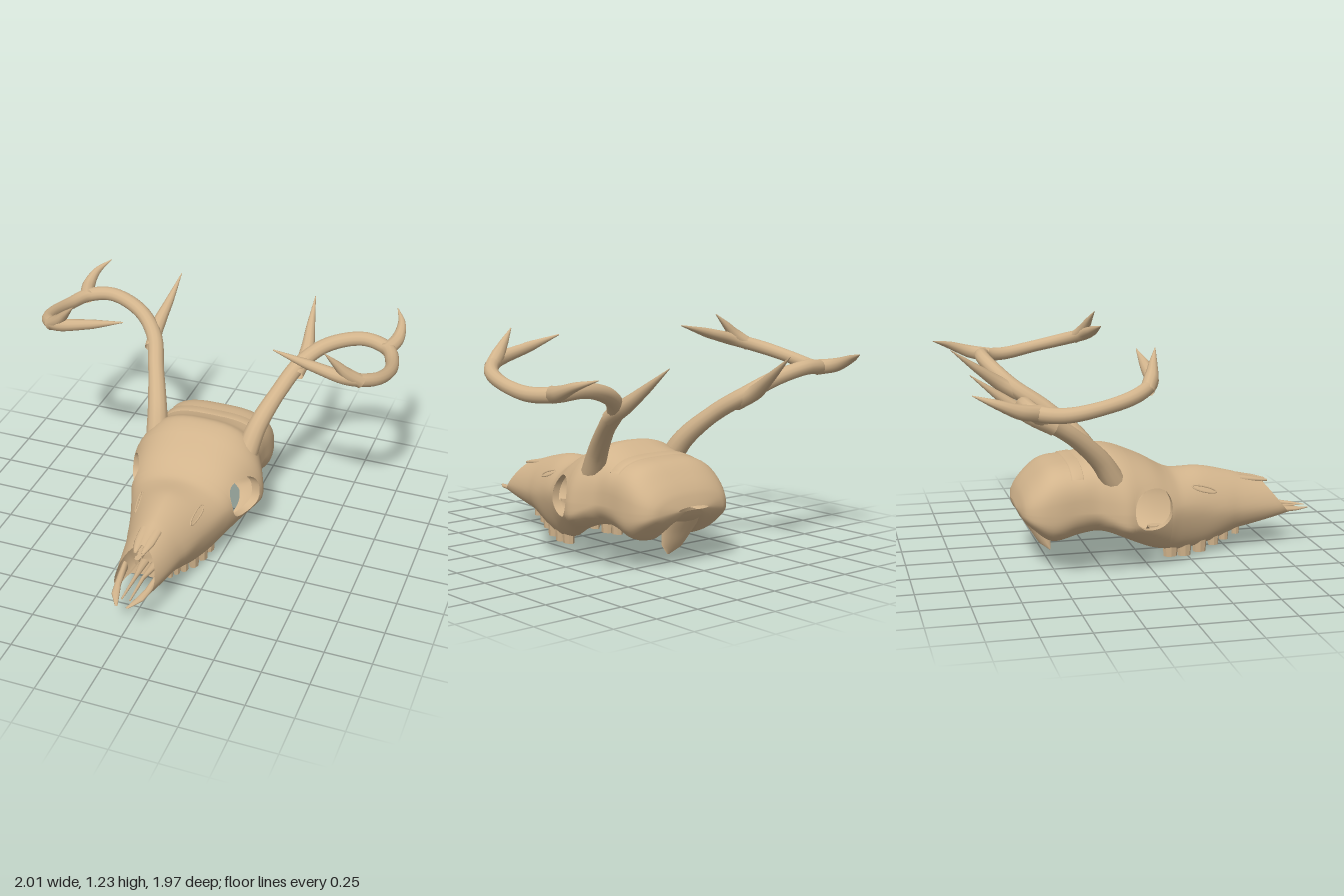
import * as THREE from 'three';
import { mergeGeometries, mergeVertices } from 'three/addons/utils/BufferGeometryUtils.js';

const bone = new THREE.MeshStandardMaterial({ color: 0xd2b48c, side: THREE.DoubleSide });
bone.name = 'bone';

// Skull stations: z, top, height of widest line, bottom, half width, palate half width, roof and cheek squareness
const STATIONS = [
  [0.70, 0.375, 0.225, 0.185, 0.108, 0.085, 1.8, 1.6],
  [0.50, 0.43, 0.23, 0.10, 0.172, 0.10, 1.7, 1.6],
  [0.35, 0.46, 0.25, 0.06, 0.215, 0.14, 1.7, 1.6],
  [0.20, 0.455, 0.27, 0.045, 0.27, 0.17, 1.9, 1.6],
  [0.14, 0.475, 0.27, 0.05, 0.295, 0.175, 2.1, 1.6],
  [0.05, 0.525, 0.26, 0.07, 0.33, 0.19, 2.3, 1.6],
  [-0.04, 0.565, 0.24, 0.11, 0.362, 0.22, 2.4, 1.6],
  [-0.12, 0.595, 0.235, 0.15, 0.383, 0.24, 2.4, 1.6],
  [-0.20, 0.605, 0.27, 0.18, 0.352, 0.22, 2.6, 1.6],
  [-0.26, 0.58, 0.30, 0.18, 0.318, 0.17, 2.8, 1.7],
  [-0.35, 0.55, 0.31, 0.165, 0.31, 0.15, 3.2, 2],
  [-0.50, 0.53, 0.28, 0.14, 0.315, 0.14, 3.2, 2.4],
  [-0.60, 0.45, 0.28, 0.21, 0.287, 0.12, 2.9, 2.4],
  [-0.655, 0.375, 0.30, 0.27, 0.215, 0.10, 2.4, 2.2],
  [-0.67, 0.325, 0.31, 0.305, 0.10, 0.05, 2, 2],
];
const ORBIT = { z: 0.025, y: 0.31, rz: 0.11, ry: 0.108, power: 2.3 };

// Smooth interpolation of the station table
function station(z) {
  const S = STATIONS, last = S.length - 1;
  let i = 0;
  while (i < last - 1 && z < S[i + 1][0]) i++;
  const slope = (k, c) => {
    const a = S[Math.max(k - 1, 0)], b = S[Math.min(k + 1, last)];
    return (b[c] - a[c]) / (b[0] - a[0]);
  };
  const h = S[i + 1][0] - S[i][0], t = (z - S[i][0]) / h, t2 = t * t, t3 = t2 * t;
  const [T, M, B, W, P, n, low] = [1, 2, 3, 4, 5, 6, 7].map((c) =>
    (2 * t3 - 3 * t2 + 1) * S[i][c] + (t3 - 2 * t2 + t) * h * slope(i, c) +
    (3 * t2 - 2 * t3) * S[i + 1][c] + (t3 - t2) * h * slope(i + 1, c));
  return { T, M, B, W, P, n, low };
}

// Half width of the skull surface at a height
function surfaceX(z, y) {
  const { T, M, B, W, P, n, low } = station(z);
  const arc = (s, p) => Math.pow(Math.max(0, 1 - Math.pow(Math.min(s, 1), p)), 1 / p);
  return y >= M ? W * arc((y - M) / (T - M), n) : P + (W - P) * arc((M - y) / (M - B), low);
}

// Surface through rows of points
function grid(rows) {
  const cols = rows[0].length, pos = [], index = [];
  rows.forEach((r) => r.forEach((p) => pos.push(...p)));
  for (let i = 0; i < rows.length - 1; i++) for (let j = 0; j < cols - 1; j++) {
    const a = i * cols + j, b = a + cols;
    index.push(a, a + 1, b, a + 1, b + 1, b);
  }
  const g = new THREE.BufferGeometry();
  g.setAttribute('position', new THREE.Float32BufferAttribute(pos, 3));
  g.setIndex(index);
  return g;
}
function smooth(g) {
  const m = mergeVertices(g, 1e-4);
  m.computeVertexNormals();
  return m;
}
const flip = ([x, y, z]) => [-x, y, z];
const mirrorRow = (half) => [...half.map(flip), ...half.slice(0, -1).reverse()];

// Roof from one side over the crown to the other, starting at a given height
function roofRow(z, from, lift = 0) {
  const { T, M, W, n } = station(z), half = [];
  const a0 = Math.asin(Math.pow(Math.max(0, (from - M) / (T - M)), n / 2));
  for (let k = 0; k <= 12; k++) {
    const a = a0 + (Math.PI / 2 - a0) * k / 12;
    const c = k === 12 ? 0 : Math.pow(Math.cos(a), 2 / n);
    half.push([(W + lift) * c, M + (T - M) * Math.pow(Math.sin(a), 2 / n) + lift, z]);
  }
  return mirrorRow(half);
}
// Cheek from a given height down to the palate edge
function cheekRow(z, from) {
  const { B, P } = station(z);
  return Array.from({ length: 13 }, (_, k) => {
    const y = from - (from - B) * Math.pow(Math.sin(k / 12 * Math.PI / 2), 1.25);
    return [k === 12 ? P : surfaceX(z, y), y, z];
  });
}
function palateRow(z) {
  const { M, B, P } = station(z), dome = Math.min(0.05, (M - B) * 0.4);
  return mirrorRow([[P, B, z], [P * 0.75, B + dome * 0.7, z], [0, B + dome, z]]).reverse();
}

// Skull shell with open eye sockets, an open throat and a slanted nose opening
function skullGeometry() {
  const zs = [], front = ORBIT.z + ORBIT.rz, back = ORBIT.z - ORBIT.rz;
  for (let i = 0; i < 28; i++) zs.push(0.7 + (front - 0.7) * i / 28);
  for (let i = 0; i <= 24; i++) zs.push(ORBIT.z + ORBIT.rz * Math.cos(Math.PI * i / 24));
  for (let i = 1; i <= 36; i++) zs.push(back + (-0.67 - back) * i / 36);
  const gap = (z) => ORBIT.ry *
    Math.pow(Math.max(0, 1 - Math.pow(Math.abs(z - ORBIT.z) / ORBIT.rz, ORBIT.power)), 1 / ORBIT.power);
  const seam = (z) => Math.max(ORBIT.y, station(z).M);
  const slant = (row) => row.map(([x, y, z]) => [x, y, z + Math.max(0, z - 0.55) / 0.15 * (0.375 - y) * 0.8]);
  const cheek = zs.map((z) => slant(cheekRow(z, seam(z) - gap(z))));
  const palate = (list) => grid(list.map((z) => slant(palateRow(z))));
  return smooth(mergeGeometries([
    grid(zs.map((z) => slant(roofRow(z, seam(z) + gap(z))))),
    grid(cheek), grid(cheek.map((r) => r.map(flip).reverse())),
    palate(zs.filter((z) => z > 0.1 && z < 0.62)), palate(zs.filter((z) => z < -0.28)),
  ]));
}

// Tapered tube; radii are spread evenly along the path
function horn(points, radii, segs = 32, sides = 10) {
  const path = new THREE.CatmullRomCurve3(points.map((p) => new THREE.Vector3(...p)));
  const g = new THREE.TubeGeometry(path, segs, 1, sides), pos = g.attributes.position;
  const v = new THREE.Vector3();
  for (let i = 0; i <= segs; i++) {
    const f = i / segs * (radii.length - 1), k = Math.min(Math.floor(f), radii.length - 2);
    const r = THREE.MathUtils.lerp(radii[k], radii[k + 1], f - k), c = path.getPointAt(i / segs);
    for (let j = 0; j <= sides; j++) {
      const id = i * (sides + 1) + j;
      v.fromBufferAttribute(pos, id).sub(c).multiplyScalar(r).add(c);
      pos.setXYZ(id, v.x, v.y, v.z);
    }
  }
  return g;
}

// Elliptical rings: [z, centre x, centre y, half width, half height]
function prong(rings) {
  return smooth(grid(rings.map(([z, cx, cy, hx, hy]) => Array.from({ length: 11 }, (_, k) => {
    const a = -k / 10 * Math.PI * 2;
    return [cx + hx * Math.cos(a), cy + hy * Math.sin(a), z];
  }))));
}

// Thickness of the bone around the eye socket
function orbitGeometry() {
  const round = (v) => Math.sign(v) * Math.pow(Math.abs(v), 2 / ORBIT.power);
  return smooth(grid([0, 1].map((d) => Array.from({ length: 49 }, (_, k) => {
    const a = k / 48 * Math.PI * 2;
    const z = ORBIT.z + ORBIT.rz * round(Math.cos(a)), y = ORBIT.y + ORBIT.ry * round(Math.sin(a));
    return [surfaceX(z, y) - 0.045 * d, y, z];
  }))));
}

export function createModel() {
  const model = new THREE.Group();
  const add = (parent, name, geometry) => {
    const m = new THREE.Mesh(geometry, bone);
    m.name = name;
    parent.add(m);
    return m;
  };
  add(model, 'skull', skullGeometry());

  // Raised band across the sawn skull cap
  const band = [[-0.335, -0.004], [-0.342, 0.006], [-0.398, 0.006], [-0.405, -0.004]];
  add(model, 'skullCapBand', smooth(grid(band.map(([z, lift]) => roofRow(z, 0.48, lift)))));

  // Tongue of bone at the back of the skull base
  const base = add(model, 'skullBase', horn(
    [[0, 0.27, -0.585], [0, 0.2, -0.55], [0, 0.12, -0.515], [0, 0.04, -0.474]], [0.06, 0.055, 0.045, 0.034, 0.004], 20, 14));
  base.scale.x = 2;

  for (const side of [1, -1]) {
    const half = new THREE.Group();
    half.name = side > 0 ? 'leftSide' : 'rightSide';
    half.scale.x = side;
    model.add(half);

    // Antler beam and tines
    add(half, 'antlerBeam', horn([
      [0.262, 0.45, -0.17], [0.295, 0.59, -0.26], [0.365, 0.74, -0.42], [0.44, 0.85, -0.58], [0.56, 0.935, -0.675],
      [0.75, 0.985, -0.72], [0.89, 0.972, -0.685], [0.95, 0.967, -0.56], [0.968, 1.0, -0.38], [0.925, 1.04, -0.22],
      [0.82, 1.08, -0.12], [0.64, 1.125, -0.1], [0.42, 1.182, -0.095],
    ], [0.064, 0.054, 0.046, 0.046, 0.042, 0.04, 0.04, 0.037, 0.034, 0.036, 0.035, 0.026, 0.003], 90, 12));
    add(half, 'browTine', horn([[0.43, 0.8, -0.52], [0.445, 0.87, -0.65], [0.425, 0.97, -0.79], [0.405, 1.08, -0.935]],
      [0.042, 0.04, 0.023, 0.002]));
    add(half, 'rearTine', horn([[0.89, 0.97, -0.66], [0.925, 0.99, -0.77], [0.92, 1.03, -0.88], [0.87, 1.065, -0.985]],
      [0.042, 0.037, 0.022, 0.002]));
    add(half, 'frontTine', horn([[0.88, 1.055, -0.155], [0.81, 1.11, -0.115], [0.76, 1.165, -0.095], [0.7, 1.23, -0.07]],
      [0.036, 0.036, 0.021, 0.002]));

    add(half, 'eyeSocketRim', orbitGeometry());

    // Rim of the slot in front of the eye
    const slot = Array.from({ length: 13 }, (_, k) => {
      const a = k / 12 * Math.PI * 2;
      const z = 0.345 + 0.07 * Math.cos(a), y = 0.365 - 0.02 * Math.cos(a) + 0.013 * Math.sin(a);
      return [surfaceX(z, y), y, z];
    });
    add(half, 'tearSlotRim', horn(slot, [0.005, 0.005], 36, 6));

    // Nose and upper jaw tips
    add(half, 'nasalBone', prong([[0.58, 0.03, 0.385, 0.03, 0.018], [0.68, 0.028, 0.368, 0.026, 0.014], [0.745, 0.022, 0.358, 0.01, 0.006]]));
    add(half, 'jawTip', prong([
      [0.7, 0.098, 0.215, 0.016, 0.03], [0.78, 0.09, 0.208, 0.018, 0.02],
      [0.84, 0.082, 0.2, 0.018, 0.014], [0.91, 0.065, 0.195, 0.022, 0.009], [0.985, 0.03, 0.19, 0.008, 0.003],
    ]));
    add(half, 'innerJawSpike', prong([[0.6, 0.03, 0.19, 0.025, 0.015], [0.75, 0.02, 0.2, 0.01, 0.012], [0.93, 0.022, 0.193, 0.005, 0.004]]));

    // Cheek teeth: z, half length, lowest point
    const teeth = [[0.155, 0.044, 0.008], [0.235, 0.042, 0.004], [0.325, 0.042, 0.015], [0.41, 0.034, 0.04], [0.475, 0.028, 0.06], [0.545, 0.024, 0.085]];
    for (const [z, size, low] of teeth) {
      const { P, B } = station(z), height = B + 0.04 - low;
      const g = new THREE.CylinderGeometry(size, size * 0.85, height, 8).toNonIndexed();
      g.computeVertexNormals();
      const tooth = add(half, 'tooth', g);
      tooth.position.set(P - 0.002, low + height / 2, z);
      tooth.scale.x = 0.7;
    }
  }
  return model;
}
